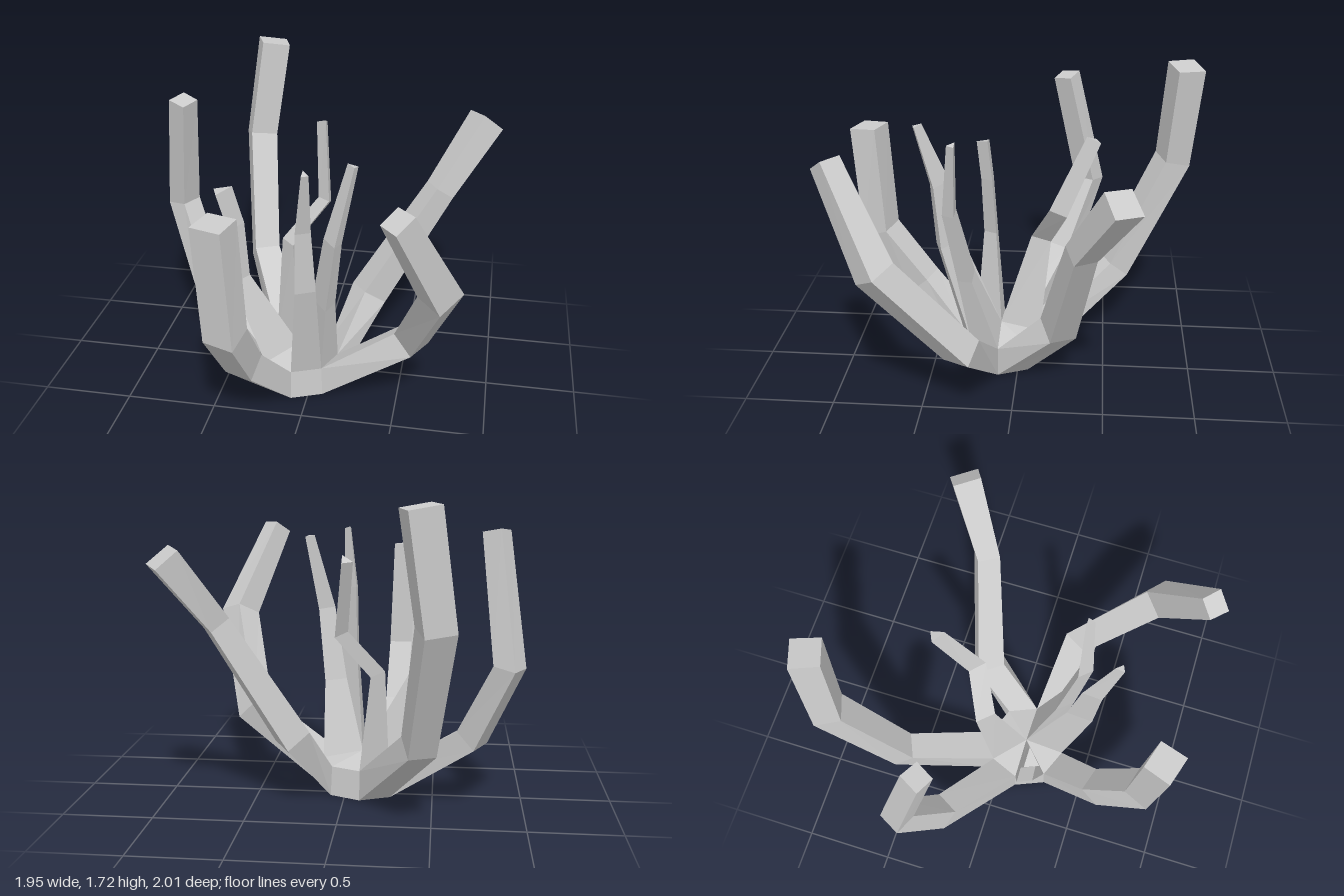
import * as THREE from 'three';

const V = (x, y, z) => new THREE.Vector3(x, y, z);
const HUB = V(-0.09, 0, 0.11);
const RIM = 0.17, APEX = 0.22, R0 = 0.24, R1 = 0.23;

// corner i of the eight-sided hub at a given radius and height
function hubPoint(i, r, y) {
  const a = (i * Math.PI) / 4;
  return V(HUB.x + r * Math.sin(a), y, HUB.z + r * Math.cos(a));
}
// side face of the hub (four corners) and roof face (three corners)
const sideFace = i => [hubPoint(i, R0, 0), hubPoint(i + 1, R0, 0), hubPoint(i + 1, R1, RIM), hubPoint(i, R1, RIM)];
const roofFace = i => [V(HUB.x, APEX, HUB.z), hubPoint(i, R1, RIM), hubPoint(i + 1, R1, RIM)];

// pull a face along joints [x, y, z, scale], turning it with the path
function branchGeometry(face, joints) {
  const n = face.length;
  const start = face.reduce((s, p) => s.add(p), V(0, 0, 0)).divideScalar(n);
  const centres = [start, ...joints.map(j => V(j[0], j[1], j[2]))];
  const dirs = joints.map((_, i) => centres[i + 1].clone().sub(centres[i]).normalize());
  let normal = face[1].clone().sub(face[0]).cross(face[2].clone().sub(face[0])).normalize();
  const offsets = face.map(p => p.clone().sub(start));
  const rings = [face];
  joints.forEach((j, i) => {
    const tangent = dirs[i].clone().add(dirs[i + 1] ?? dirs[i]).normalize();
    const turn = new THREE.Quaternion().setFromUnitVectors(normal, tangent);
    offsets.forEach(o => o.applyQuaternion(turn));
    normal = tangent;
    rings.push(offsets.map(o => o.clone().multiplyScalar(j[3]).add(centres[i + 1])));
  });

  const pos = [];
  const tri = (...pts) => pts.forEach(p => pos.push(p.x, p.y, p.z));
  for (let r = 0; r < rings.length - 1; r++) {
    for (let k = 0; k < n; k++) {
      const m = (k + 1) % n, a = rings[r], b = rings[r + 1];
      tri(a[k], a[m], b[m]);
      tri(a[k], b[m], b[k]);
    }
  }
  const tip = rings[rings.length - 1];
  for (let k = 1; k < n - 1; k++) tri(tip[0], tip[k], tip[k + 1]);
  const geo = new THREE.BufferGeometry();
  geo.setAttribute('position', new THREE.Float32BufferAttribute(pos, 3));
  geo.computeVertexNormals();
  return geo;
}

export function createModel() {
  const group = new THREE.Group();
  const material = new THREE.MeshStandardMaterial({ color: 0xcccccc, flatShading: true });
  const add = (name, geo) => {
    const mesh = new THREE.Mesh(geo, material);
    mesh.name = name;
    group.add(mesh);
    return mesh;
  };

  // octagonal hub with a low pointed roof
  const profile = [[0, 0], [R0, 0], [R1, RIM], [0, APEX]].map(p => new THREE.Vector2(...p));
  add('hub', new THREE.LatheGeometry(profile, 8)).position.copy(HUB);

  // thick four-sided branches growing from the hub's sides
  const outer = {
    frontLeftBranch: [1, [0.57, 0.42, 0.26, 0.9], [0.73, 0.94, 0.66, 0.92], [0.53, 1.45, 0.92, 0.68]],
    backLeftBranch: [2, [0.27, 0.40, -0.24, 0.92], [0.65, 1.05, -0.36, 0.72], [0.88, 1.42, -0.55, 0.88]],
    backRightBranch: [4, [-0.43, 0.46, -0.55, 0.85], [-0.51, 1.13, -0.87, 0.9], [-0.43, 1.71, -0.91, 0.92]],
    rightBranch: [5, [-0.71, 0.42, -0.22, 0.82], [-0.89, 0.85, -0.38, 0.74], [-0.81, 1.54, -0.23, 0.64]],
    frontRightBranch: [7, [-0.29, 0.38, 0.60, 0.87], [-0.31, 0.71, 0.85, 0.93], [-0.33, 1.35, 0.89, 0.92]],
  };
  for (const [name, [side, ...joints]] of Object.entries(outer)) add(name, branchGeometry(sideFace(side), joints));

  // thin three-sided shoots growing from the hub's roof
  const inner = {
    frontShoot: [0, [0, 0.77, 0.41, 0.65], [0, 1.13, 0.45, 0.48], [0.035, 1.48, 0.55, 0.22]],
    leftShoot: [1, [0.09, 0.60, 0.28, 0.55], [0.15, 1.02, 0.36, 0.42], [0.245, 1.45, 0.33, 0.24]],
    backShoot: [4, [-0.18, 0.75, -0.13, 0.5], [0.01, 0.99, -0.23, 0.45], [-0.04, 1.40, -0.41, 0.36]],
    rightShoot: [6, [-0.42, 0.66, 0.19, 0.5], [-0.43, 1.00, 0.21, 0.45], [-0.48, 1.22, 0.24, 0.45]],
  };
  for (const [name, [side, ...joints]] of Object.entries(inner)) add(name, branchGeometry(roofFace(side), joints));

  return group;
}
